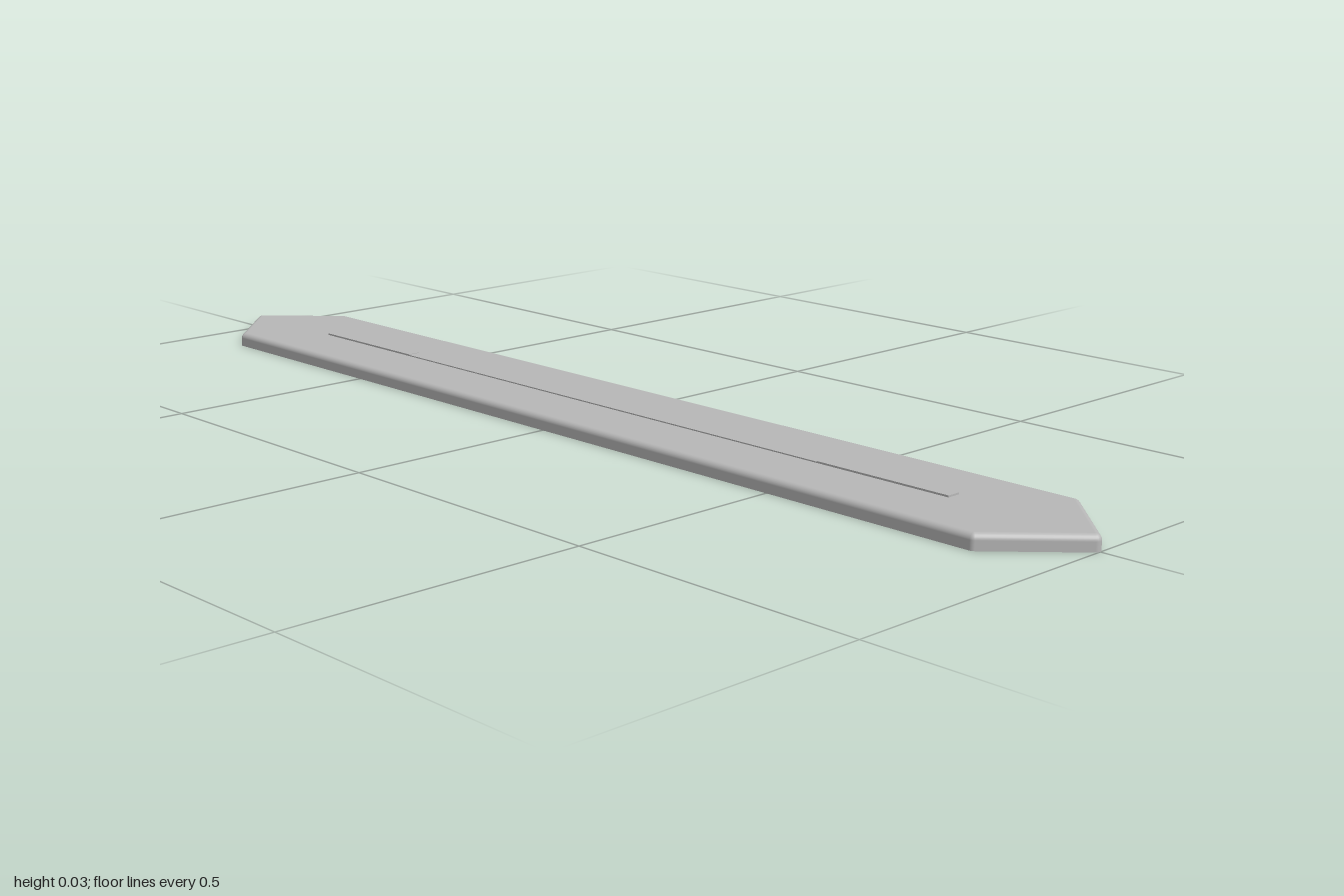
import * as THREE from 'three';

const grey = new THREE.MeshStandardMaterial({ color: 0xb8b8b8 });
grey.name = 'grey';

const HEIGHT = 0.025, ROUND = 0.01;

// Inner hexagon corners, with the range of outward angles (degrees) rounded at each
const corners = [
  [0.99, 0, -45, 45], [0.875, 0.115, 45, 90], [-0.875, 0.115, 90, 135],
  [-0.99, 0, 135, 225], [-0.875, -0.115, 225, 270], [0.875, -0.115, 270, 315],
];

// Pointed bar: upright wall, rounded top rim, flat top and bottom
function barGeometry() {
  const positions = [], normals = [], index = [];
  const rim = [];
  for (const [x, z, from, to] of corners) {
    for (let k = 0; k <= 4; k++) {
      rim.push([x, z, THREE.MathUtils.degToRad(from + (to - from) * k / 4)]);
    }
  }
  const n = rim.length;
  const addLoop = (y, radius, tilt) => {
    for (const [x, z, a] of rim) {
      positions.push(x + radius * Math.cos(a), y, z + radius * Math.sin(a));
      normals.push(Math.cos(tilt) * Math.cos(a), Math.sin(tilt), Math.cos(tilt) * Math.sin(a));
    }
  };

  // Wall and rounded rim
  addLoop(0, ROUND, 0);
  const steps = 6;
  for (let s = 0; s <= steps; s++) {
    const t = s / steps * Math.PI / 2;
    addLoop(HEIGHT - ROUND + ROUND * Math.sin(t), ROUND * Math.cos(t), t);
  }
  for (let i = 0; i <= steps; i++) {
    for (let j = 0; j < n; j++) {
      const a = i * n + j, b = i * n + (j + 1) % n;
      index.push(a, a + n, b, b, a + n, b + n);
    }
  }

  // Flat caps
  for (const [y, radius, tilt] of [[HEIGHT, 0, Math.PI / 2], [0, ROUND, -Math.PI / 2]]) {
    const start = positions.length / 3;
    addLoop(y, radius, tilt);
    for (let j = 1; j < n - 1; j++) {
      if (tilt > 0) index.push(start, start + j + 1, start + j);
      else index.push(start, start + j, start + j + 1);
    }
  }

  const geometry = new THREE.BufferGeometry();
  geometry.setAttribute('position', new THREE.Float32BufferAttribute(positions, 3));
  geometry.setAttribute('normal', new THREE.Float32BufferAttribute(normals, 3));
  geometry.setIndex(index);
  return geometry;
}

export function createModel() {
  const group = new THREE.Group();
  group.name = 'pointedBar';

  const addMesh = (name, geometry, x = 0, y = 0) => {
    const mesh = new THREE.Mesh(geometry, grey);
    mesh.name = name;
    mesh.position.set(x, y, 0);
    group.add(mesh);
  };

  addMesh('body', barGeometry());

  // Low centre ridge, with slightly taller ends
  const ridge = (name, x, length, rise) =>
    addMesh(name, new THREE.BoxGeometry(length, rise, 0.024), x, HEIGHT + rise / 2);
  ridge('ridgeMiddle', 0, 1, 0.002);
  for (const side of [-1, 1]) {
    ridge(side > 0 ? 'ridgeLeft' : 'ridgeRight', side * 0.625, 0.25, 0.003);
  }
  return group;
}
